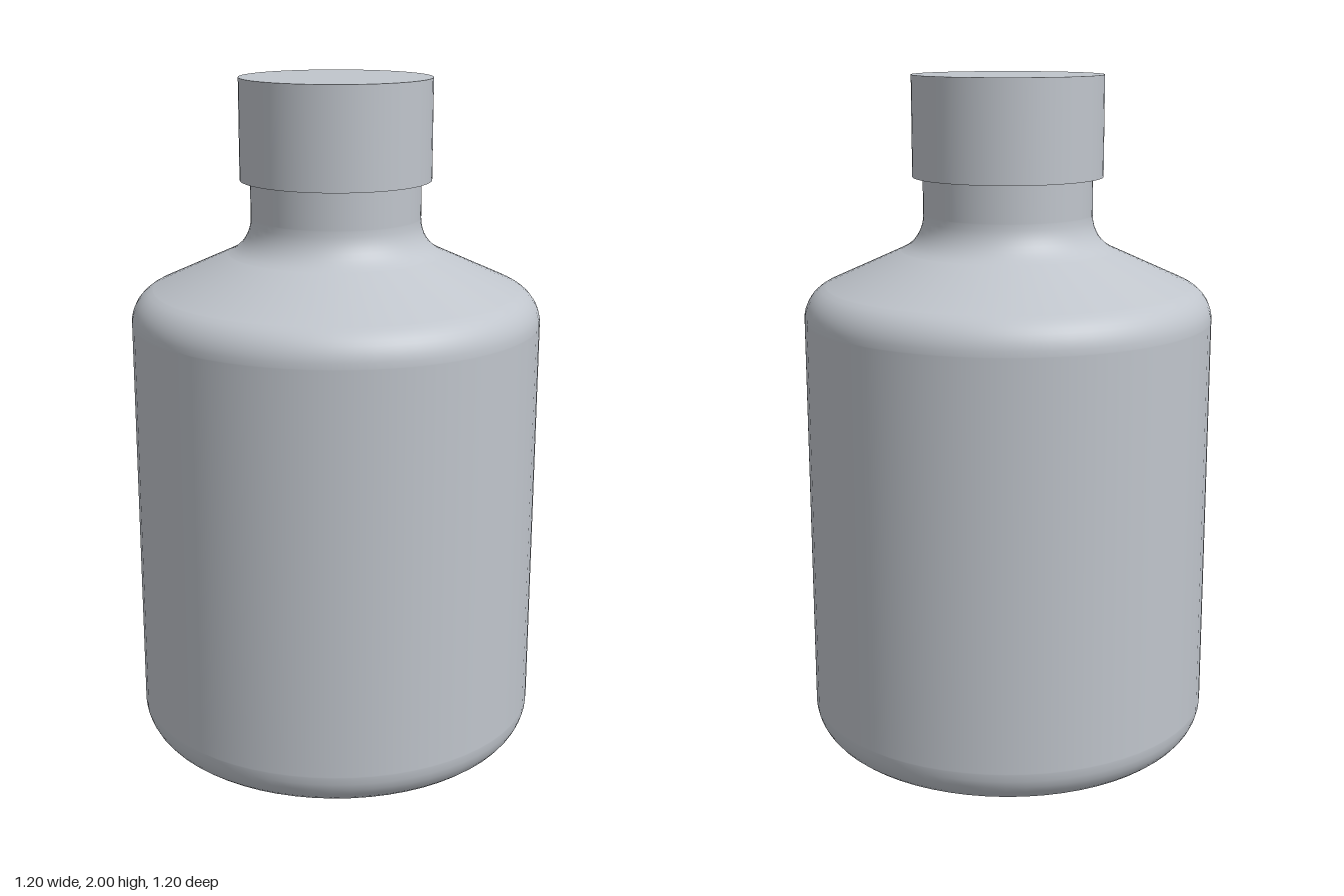
import * as THREE from 'three';

const SEGMENTS = 64;

// Points of a rounded corner, tangent to both neighbouring straight lines.
function fillet(prev, corner, next, radius, steps = 8) {
  const a = prev.clone().sub(corner).normalize();
  const b = next.clone().sub(corner).normalize();
  const half = Math.acos(a.dot(b)) / 2;
  const reach = radius / Math.tan(half);
  const centre = a.clone().add(b).normalize().multiplyScalar(radius / Math.sin(half)).add(corner);
  const start = corner.clone().addScaledVector(a, reach);
  const sweep = Math.PI - 2 * half;
  const turn = Math.sign(b.x * a.y - b.y * a.x);
  // Guard points keep the adjoining straight walls evenly shaded
  const points = [corner.clone().addScaledVector(a, reach + 0.003)];
  for (let i = 0; i <= steps; i++) {
    points.push(start.clone().rotateAround(centre, turn * sweep * i / steps));
  }
  points.push(corner.clone().addScaledVector(b, reach + 0.003));
  return points;
}

export function createModel() {
  const model = new THREE.Group();
  model.name = 'bottle';
  const grey = new THREE.MeshStandardMaterial({ color: 0xc0c5cc });
  grey.name = 'pale grey';

  // Body: base, wall, sloping shoulder and neck in one turned profile
  const corners = [[0, 0], [0.6, 0], [0.6, 1.368], [0.248, 1.528], [0.248, 1.712]]
    .map(([x, y]) => new THREE.Vector2(x, y));
  const radii = [0, 0.11, 0.105, 0.11];
  const profile = [corners[0]];
  for (let i = 1; i < corners.length - 1; i++) {
    profile.push(...fillet(corners[i - 1], corners[i], corners[i + 1], radii[i]));
  }
  profile.push(corners[corners.length - 1]);
  const body = new THREE.Mesh(new THREE.LatheGeometry(profile, SEGMENTS), grey);
  body.name = 'body';
  model.add(body);

  // Cap: plain closed cylinder overhanging the neck
  const cap = new THREE.Mesh(new THREE.CylinderGeometry(0.278, 0.278, 0.29, SEGMENTS), grey);
  cap.name = 'cap';
  cap.position.y = 1.855;
  model.add(cap);

  return model;
}
